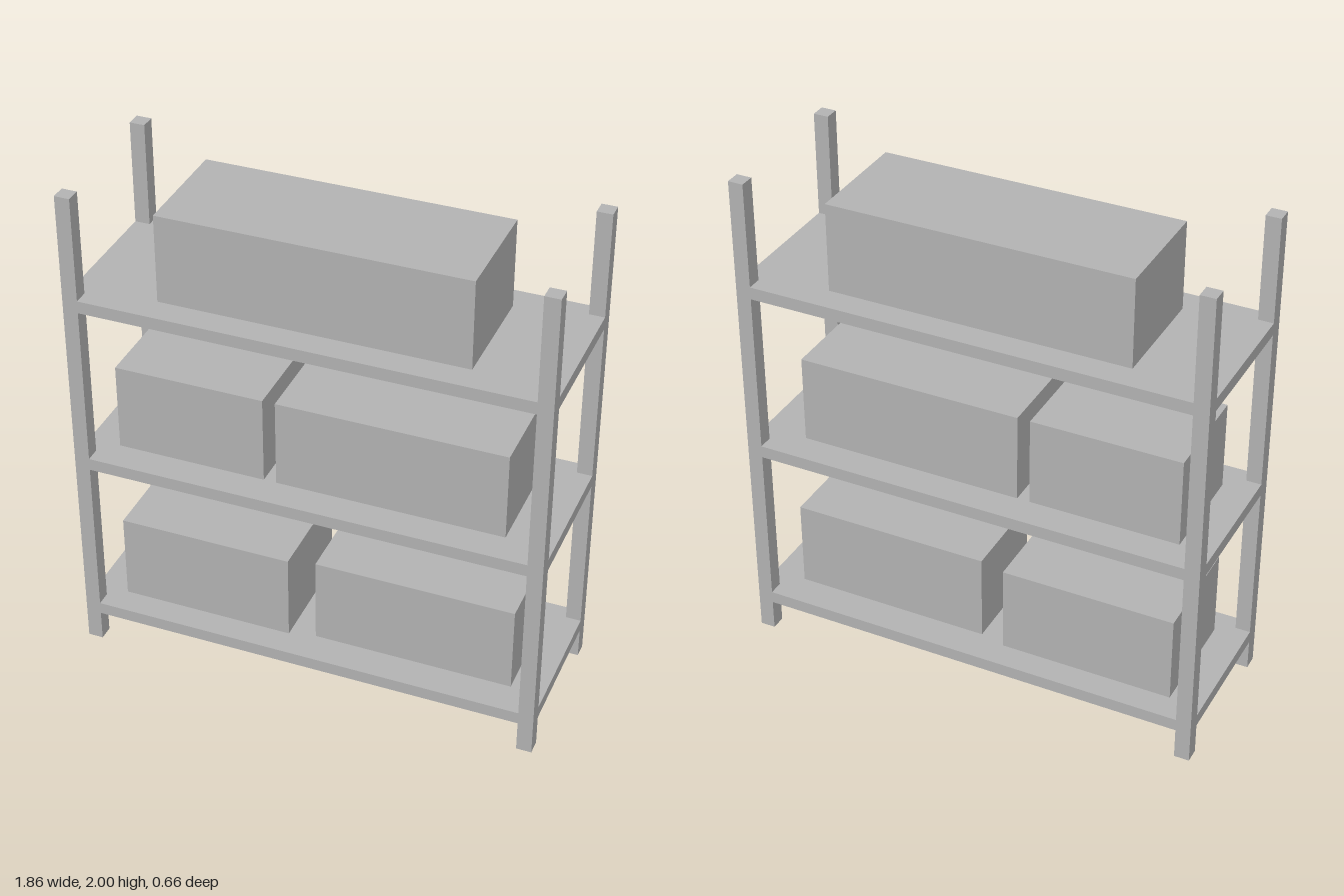
import * as THREE from 'three';

export function createModel() {
  const group = new THREE.Group();
  const grey = new THREE.MeshStandardMaterial({ color: 0xb2b2b2 });
  grey.name = 'plain grey';

  // Box placed by its centre x and z and the height of its underside
  function addBox(name, w, h, d, x, bottom, z = 0) {
    const mesh = new THREE.Mesh(new THREE.BoxGeometry(w, h, d), grey);
    mesh.name = name;
    mesh.position.set(x, bottom + h / 2, z);
    group.add(mesh);
  }

  const width = 1.86, depth = 0.664, post = 0.06, board = 0.05;

  // Corner posts
  for (const sx of [-1, 1]) {
    for (const sz of [-1, 1]) {
      const name = (sz > 0 ? 'front' : 'back') + (sx > 0 ? 'Left' : 'Right') + 'Post';
      addBox(name, post, 2, post, sx * (width - post) / 2, 0, sz * (depth - post) / 2);
    }
  }

  // Shelves with their cartons, each carton given as [xMin, xMax, depth]
  const cartonHeight = 0.355;
  const levels = [
    { name: 'lower', y: 0.127, cartons: [[-0.8, -0.103, 0.45], [0, 0.797, 0.4]] },
    { name: 'middle', y: 0.83, cartons: [[-0.8, -0.203, 0.415], [-0.153, 0.747, 0.415]] },
    { name: 'upper', y: 1.53, cartons: [[-0.6, 0.6, 0.45]] },
  ];
  for (const { name, y, cartons } of levels) {
    addBox(name + 'Shelf', width, board, depth, 0, y);
    cartons.forEach(([x0, x1, d], i) => {
      addBox(name + 'Carton' + (i + 1), x1 - x0, cartonHeight, d, (x0 + x1) / 2, y + board);
    });
  }
  return group;
}
